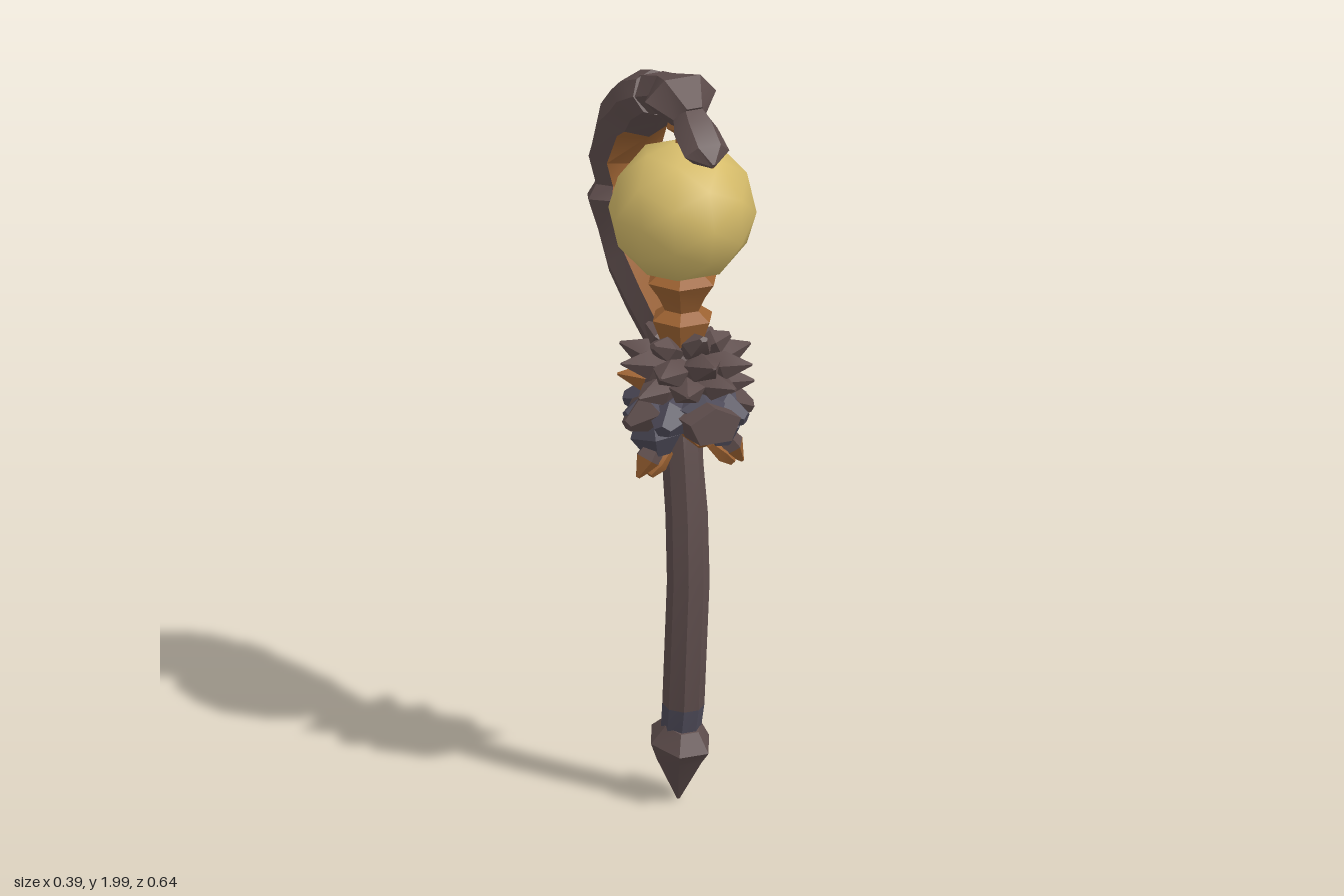
import * as THREE from 'three';
import { toCreasedNormals } from 'three/addons/utils/BufferGeometryUtils.js';

const paint = (name, color) => {
  const m = new THREE.MeshStandardMaterial({ color });
  m.name = name;
  return m;
};

// Loft through rows of [x, y, z, half width, half depth]; pick(row, midAngle) chooses a material index.
function loft(rows, sides, sideAxis, pick = () => 0, turn = 0) {
  const centres = rows.map(r => new THREE.Vector3(r[0], r[1], r[2]));
  const last = rows.length - 1;
  const rings = rows.map((r, i) => {
    const t = centres[Math.min(i + 1, last)].clone().sub(centres[Math.max(i - 1, 0)]).normalize();
    const s = sideAxis.clone().addScaledVector(t, -sideAxis.dot(t)).normalize();
    const n = t.clone().cross(s);
    return Array.from({ length: sides }, (_, j) => {
      const a = turn + j / sides * Math.PI * 2;
      return centres[i].clone().addScaledVector(s, Math.cos(a) * r[3]).addScaledVector(n, Math.sin(a) * r[4]);
    });
  });
  const buckets = [[], [], []];
  const put = (k, ...pts) => pts.forEach(p => buckets[k].push(p.x, p.y, p.z));
  for (let j = 0; j < sides; j++) {
    const k = (j + 1) % sides;
    const mid = turn + (j + 0.5) / sides * Math.PI * 2;
    for (let i = 0; i < last; i++) {
      const A = rings[i], B = rings[i + 1];
      put(pick(i, mid), A[j], A[k], B[k], A[j], B[k], B[j]);
    }
    put(pick(0, mid), centres[0], rings[0][k], rings[0][j]);
    put(pick(last - 1, mid), centres[last], rings[last][j], rings[last][k]);
  }
  const g = new THREE.BufferGeometry();
  let start = 0;
  buckets.forEach((b, i) => {
    if (b.length) g.addGroup(start, b.length / 3, i);
    start += b.length / 3;
  });
  g.setAttribute('position', new THREE.Float32BufferAttribute(buckets.flat(), 3));
  return toCreasedNormals(g, 0.6);
}

export function createModel() {
  const wood = paint('dark wood', 0x5f4e4d);
  const slate = paint('slate bark', 0x4d4a58);
  const rust = paint('rust wood', 0x9c6232);
  const gold = paint('golden orb', 0xd6bc6a);
  const palette = [wood, slate, rust];
  const WOOD = 0, SLATE = 1, RUST = 2;
  const model = new THREE.Group();
  const X = new THREE.Vector3(1, 0, 0), Y = new THREE.Vector3(0, 1, 0);
  const add = (name, geometry, material, parent = model) => {
    const m = new THREE.Mesh(geometry, material);
    m.name = name;
    parent.add(m);
    return m;
  };
  // rows in the x = 0 plane: [z, y, half width, half depth]
  const planar = rows => rows.map(([z, y, w, d]) => [0, y, z, w, d]);

  // gently bowed shaft
  add('shaft', loft(planar([
    [0.10, 0.15, 0.05, 0.05], [0.125, 0.27, 0.055, 0.053], [0.155, 0.62, 0.056, 0.052],
    [0.145, 0.8, 0.055, 0.055], [0.122, 0.93, 0.052, 0.06], [0.08, 1.2, 0.06, 0.07], [0.03, 1.28, 0.05, 0.06],
  ]), 8, X, (i, a) => (i < 1 || Math.sin(a) > 0.8 ? SLATE : WOOD), Math.PI / 8), palette);

  // pointed foot, tilted along the shaft
  add('footSpike', loft(planar([
    [0.123, 0.215, 0.05, 0.05], [0.105, 0.165, 0.083, 0.1], [0.102, 0.12, 0.065, 0.075], [0.095, 0, 0.004, 0.004],
  ]), 6, X), palette);

  // curled hook made of overlapping bark segments, rust on the inside
  add('hook', loft(planar([
    [0.09, 1.19, 0.05, 0.06], [0.02, 1.27, 0.065, 0.075], [-0.07, 1.335, 0.075, 0.08],
    [-0.15, 1.405, 0.085, 0.085], [-0.2, 1.485, 0.09, 0.075], [-0.212, 1.565, 0.112, 0.108],
    [-0.222, 1.6, 0.085, 0.07], [-0.225, 1.68, 0.105, 0.066], [-0.175, 1.79, 0.1, 0.08],
    [-0.14, 1.825, 0.088, 0.085], [-0.09, 1.87, 0.09, 0.075], [-0.035, 1.9, 0.068, 0.062],
  ]), 8, X, (i, a) => {
    const s = Math.sin(a);
    if (s < -0.8 && i > 0 && i < 9) return RUST;
    return s > 0.8 && i < 7 ? SLATE : WOOD;
  }, Math.PI / 2), palette);

  // hooked head and beak
  add('head', loft(planar([
    [-0.05, 1.893, 0.068, 0.062], [0.03, 1.922, 0.046, 0.055], [0.108, 1.938, 0.102, 0.065], [0.165, 1.895, 0.043, 0.055],
  ]), 6, X), palette);
  add('beak', loft(planar([
    [0.15, 1.905, 0.04, 0.045], [0.2, 1.872, 0.062, 0.05], [0.268, 1.832, 0.064, 0.036], [0.306, 1.81, 0.006, 0.008],
  ]), 6, X, (i, a) => (Math.sin(a) < -0.9 ? RUST : WOOD)), palette);

  // orb with its peg and cup
  add('orb', new THREE.IcosahedronGeometry(0.193, 1), gold).position.set(0, 1.63, 0.12);
  const turned = (name, pts) => {
    const g = new THREE.LatheGeometry(pts.map(p => new THREE.Vector2(...p)), 6, Math.PI / 6);
    add(name, toCreasedNormals(g, 0.5), rust).position.z = 0.12;
  };
  turned('topPeg', [[0, 1.79], [0.022, 1.8], [0.018, 1.84], [0.045, 1.86], [0.04, 1.9], [0, 1.9]]);
  turned('cup', [[0, 1.26], [0.06, 1.27], [0.085, 1.335], [0.05, 1.36], [0.07, 1.4], [0.098, 1.44], [0.07, 1.46], [0, 1.46]]);

  // one bark shard from a to b, widest past the middle; blunt is the share of width left at the tip
  const cluster = new THREE.Group();
  cluster.name = 'barkShards';
  model.add(cluster);
  const shard = (name, a, b, w, d, blunt, body, end) => {
    const side = Y.clone().cross(b.clone().sub(a)).normalize();
    const rows = [[0, 0.6], [0.55, 1], [1, Math.max(blunt, 0.06)]].map(([t, k]) =>
      [...a.clone().lerp(b, t).toArray(), w * k, d * k]);
    add(name, loft(rows, 5, side, i => (i ? end : body), Math.PI / 2), palette, cluster);
  };

  // tiers of shards fanned around the neck
  const tier = (y, lift, reach, count, offset, w, blunt, body) => {
    for (let i = 0; i < count; i++) {
      const a = (i + offset) / count * Math.PI * 2;
      const out = (r, h) => new THREE.Vector3(Math.sin(a) * 0.188 * r, h, 0.14 + Math.cos(a) * 0.178 * r);
      const end = body === WOOD && offset && Math.abs(Math.cos(a) + 0.38) < 0.1 ? RUST : body;
      shard('shard', out(0.15, y), out(reach, y + lift + 0.015 * Math.cos(3 * a)), w, w * 0.75, blunt, body, end);
    }
  };
  tier(1.25, 0.05, 0.62, 5, 0, 0.045, 0.25, WOOD);
  tier(1.21, 0.03, 0.98, 8, 0, 0.052, 0.1, WOOD);
  tier(1.165, 0.01, 0.95, 8, 0.5, 0.05, 0.1, WOOD);
  tier(1.12, -0.03, 0.9, 8, 0, 0.068, 0.35, SLATE);

  // front plate, front claw and back spur
  const v = (x, y, z) => new THREE.Vector3(x, y, z);
  shard('frontPlate', v(0, 1.09, 0.13), v(0, 1.095, 0.322), 0.08, 0.055, 0.95, WOOD, WOOD);
  shard('frontClaw', v(0, 1.1, 0.17), v(0, 1.02, 0.245), 0.055, 0.04, 0.3, SLATE, RUST);
  shard('backSpur', v(0, 1.07, 0.1), v(0, 0.95, 0.03), 0.055, 0.03, 0.2, WOOD, SLATE);

  // drooping side lobes ending in rust claws
  for (const s of [1, -1]) {
    shard('sideLobe', v(0.03 * s, 1.13, 0.14), v(0.178 * s, 1.075, 0.16), 0.075, 0.055, 0.3, SLATE, WOOD);
    shard('lowerLobe', v(0.1 * s, 1.1, 0.15), v(0.09 * s, 0.985, 0.16), 0.06, 0.07, 0.5, SLATE, SLATE);
    shard('claw', v(0.085 * s, 1.03, 0.16), v(0.15 * s, 0.93, 0.165), 0.04, 0.035, 0.15, WOOD, RUST);
    shard('clawHeel', v(0.06 * s, 0.99, 0.16), v(0.12 * s, 0.935, 0.17), 0.03, 0.025, 0.5, RUST, RUST);
  }
  return model;
}
